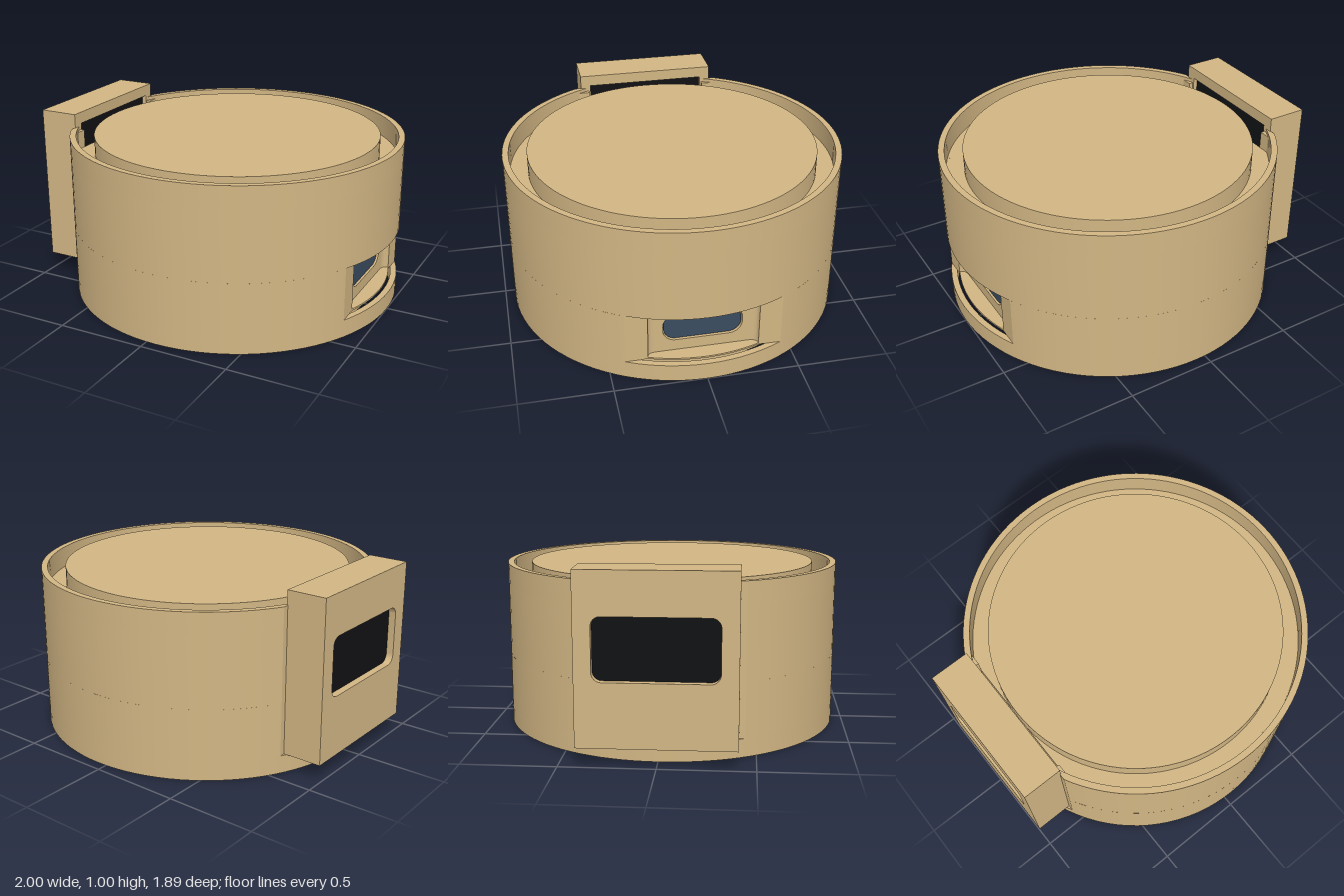
import * as THREE from 'three';
import { toCreasedNormals } from 'three/addons/utils/BufferGeometryUtils.js';

const CX = 0.055;                 // axis of the round housing
const R_OUT = 0.945, R_LIP = 0.91, R_IN = 0.897, R_CORE = 0.81;
const CUT_BOX = -0.78;            // plane where the wall opens for the box
const CUT_PORT = 0.9;             // plane of the flat port cut

const tan = new THREE.MeshStandardMaterial({ color: 0xd2b684 });
const blue = new THREE.MeshStandardMaterial({ color: 0x3a4c60 });
const black = new THREE.MeshStandardMaterial({ color: 0x111214 });

export function createModel() {
  const model = new THREE.Group();

  const add = (name, geometry, material = tan) => {
    const mesh = new THREE.Mesh(geometry, material);
    mesh.name = name;
    model.add(mesh);
    return mesh;
  };
  const extrude = (shape, depth) => new THREE.ExtrudeGeometry(shape,
    { depth, bevelEnabled: false, curveSegments: 48 });

  // Plan outline (x, z) raised from y0 to y1
  const layer = (name, shape, y0, y1, material) => {
    const g = extrude(shape, y1 - y0).rotateX(-Math.PI / 2).translate(0, y0, 0);
    return add(name, toCreasedNormals(g, 0.4), material);
  };
  // Side outline (z, y) running from x0 to x1
  const slab = (name, shape, x0, x1, material) => {
    const g = extrude(shape, x1 - x0).rotateY(Math.PI / 2).translate(x0, 0, 0);
    return add(name, toCreasedNormals(g, 0.4), material);
  };
  const box = (name, x0, x1, y0, y1, z0, z1, material) =>
    add(name, new THREE.BoxGeometry(x1 - x0, y1 - y0, z1 - z0)
      .translate((x0 + x1) / 2, (y0 + y1) / 2, (z0 + z1) / 2), material);

  // Angle at which a circle of radius r meets the plane x = p
  const angle = (p, r) => Math.acos((p - CX) / r);

  // Wall segment whose ends are cut by planes
  const wallArc = (rIn, a0, a1, b0, b1) => {
    const s = new THREE.Shape();
    s.absarc(CX, 0, R_OUT, a0, a1, false);
    s.absarc(CX, 0, rIn, b1, b0, true);
    return s;
  };
  const rect = (z0, z1, y0, y1, r = 0, Type = THREE.Shape) => {
    const s = new Type();
    if (!r) return s.moveTo(z0, y0).lineTo(z1, y0).lineTo(z1, y1).lineTo(z0, y1).closePath();
    s.absarc(z1 - r, y0 + r, r, -Math.PI / 2, 0);
    s.absarc(z1 - r, y1 - r, r, 0, Math.PI / 2);
    s.absarc(z0 + r, y1 - r, r, Math.PI / 2, Math.PI);
    s.absarc(z0 + r, y0 + r, r, Math.PI, Math.PI * 1.5);
    return s.closePath();
  };

  // Outer wall: full ring at the foot
  const foot = new THREE.Shape().absarc(CX, 0, R_OUT, 0, Math.PI * 2);
  foot.holes.push(new THREE.Path().absarc(CX, 0, R_LIP, 0, Math.PI * 2));
  layer('wallFoot', foot, 0, 0.1);

  // Outer wall: two halves beside the port cut
  const half = wallArc(R_IN, angle(CUT_PORT, R_OUT), angle(CUT_BOX, R_OUT),
    angle(CUT_PORT, R_IN), angle(CUT_BOX, R_IN));
  layer('wallFrontHalf', half, 0.1, 0.4);
  const mirrored = new THREE.Shape(half.getPoints(48).map((p) => new THREE.Vector2(p.x, -p.y)));
  layer('wallBackHalf', mirrored, 0.1, 0.4);

  // Outer wall: open ring above the port, then the thinner lip
  for (const [name, r, y0, y1] of [['wallUpper', R_IN, 0.4, 0.8], ['wallLip', R_LIP, 0.8, 0.92]]) {
    const a = angle(CUT_BOX, R_OUT), b = angle(CUT_BOX, r);
    layer(name, wallArc(r, -a, a, -b, b), y0, y1);
  }

  // Inner body: flat on the box side, with an optional notch for the port
  const body = (notched) => {
    const end = angle(-0.752, R_IN), start = notched ? angle(CUT_PORT, R_IN) : 0;
    const s = new THREE.Shape();
    s.absarc(CX, 0, R_IN, start, end, false);
    s.absarc(CX, 0, R_IN, -end, -start, false);
    if (notched) {
      s.quadraticCurveTo(0.865, -0.3, 0.865, -0.25);
      s.lineTo(0.82, -0.25).lineTo(0.82, 0.25).lineTo(0.865, 0.25);
      s.quadraticCurveTo(0.865, 0.3, CUT_PORT, 0.3);
    }
    return s;
  };
  layer('bodyFloor', body(false), 0.1, 0.11);
  layer('bodyPort', body(true), 0.11, 0.38);
  layer('bodyUpper', body(false), 0.38, 0.8);

  // Round lids, flush with the rims
  const disc = new THREE.Shape().absarc(CX, 0, R_CORE, 0, Math.PI * 2);
  layer('topLid', disc, 0.8, 0.918);
  layer('bottomLid', disc, 0.002, 0.1);

  // Port plate with a pill opening and a blue insert
  const plate = rect(-0.25, 0.25, 0.11, 0.38);
  plate.holes.push(rect(-0.215, 0.215, 0.175, 0.34, 0.07, THREE.Path));
  slab('portPlate', plate, 0.82, 0.865);
  slab('portInsert', rect(-0.21, 0.21, 0.18, 0.335, 0.068), 0.82, 0.855, blue);

  // Display box: windowed face, hollow frame and dark screen
  const face = rect(-0.41, 0.41, 0.1, 1);
  face.holes.push(rect(-0.32, 0.32, 0.44, 0.77, 0.05, THREE.Path));
  slab('displayFace', face, -1, -0.96);
  const frame = rect(-0.41, 0.41, 0.1, 1);
  frame.holes.push(rect(-0.35, 0.35, 0.3, 0.935, 0, THREE.Path));
  slab('displayFrame', frame, -0.96, -0.775);
  box('displayScreen', -0.96, -0.8, 0.3, 0.935, -0.35, 0.35, black);

  // Tabs joining the wall ends to the display box
  for (const s of [-1, 1]) {
    const z = [0.36 * s, 0.43 * s].sort((p, q) => p - q);
    box('wallTab', -0.78, -0.75, 0.1, 0.9, z[0], z[1]);
  }
  return model;
}
